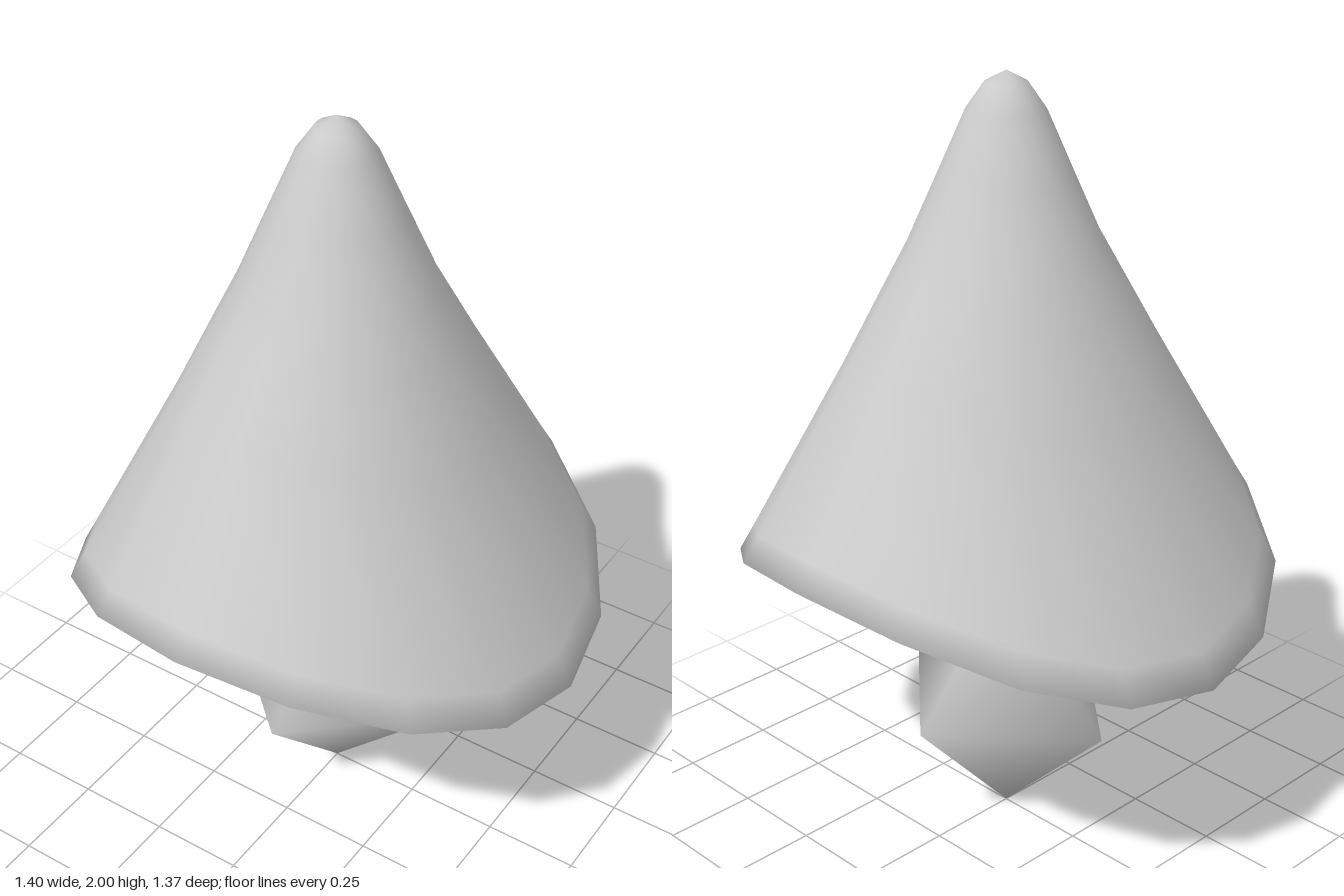
import * as THREE from 'three';
import { mergeVertices } from 'three/addons/utils/BufferGeometryUtils.js';

// Weld the corners so that shading runs smoothly over every edge
function smooth(geometry) {
  geometry.deleteAttribute('uv');
  geometry.deleteAttribute('normal');
  const welded = mergeVertices(geometry, 1e-4);
  welded.computeVertexNormals();
  return welded;
}

export function createModel() {
  const model = new THREE.Group();
  const grey = new THREE.MeshStandardMaterial({ color: 0xcccccc, side: THREE.DoubleSide });

  // Closed cone with its sides bent down: radius, height at front and back, drop at the sides.
  // The profile runs from the middle of the recessed underside, round the rim and up the outside.
  const profile = [
    [0, 0.92, 0], [0.4, 0.915, 0.083], [0.645, 0.905, 0.215],
    [0.698, 0.88, 0.25],
    [0.655, 0.945, 0.23], [0.41, 1.335, 0.13], [0.3, 1.515, 0.073], [0.242, 1.61, 0.045],
    [0.165, 1.765, 0.015], [0.097, 1.91, 0], [0.053, 1.972, 0], [0, 2, 0],
  ];
  const segments = 16;
  const coneGeometry = new THREE.LatheGeometry(profile.map(([r, y]) => new THREE.Vector2(r, y)), segments);

  // Bend the sides down, with the rim slightly narrower from front to back
  const position = coneGeometry.attributes.position;
  for (let i = 0; i < position.count; i++) {
    const [r, y, drop] = profile[i % profile.length];
    const turn = Math.floor(i / profile.length) / segments * Math.PI * 2;
    const angle = turn + 0.04 * Math.sin(2 * turn);
    position.setXYZ(i, r * Math.sin(angle), y - drop * Math.sin(angle) ** 2, 0.98 * r * Math.cos(angle));
  }
  const cone = new THREE.Mesh(smooth(coneGeometry), grey);
  cone.name = 'bentCone';
  model.add(cone);

  // Softly shaded octahedron floating below the cone
  const gem = new THREE.Mesh(smooth(new THREE.OctahedronGeometry(1).scale(0.345, 0.335, 0.31)), grey);
  gem.name = 'gem';
  gem.position.y = 0.335;
  model.add(gem);

  return model;
}
